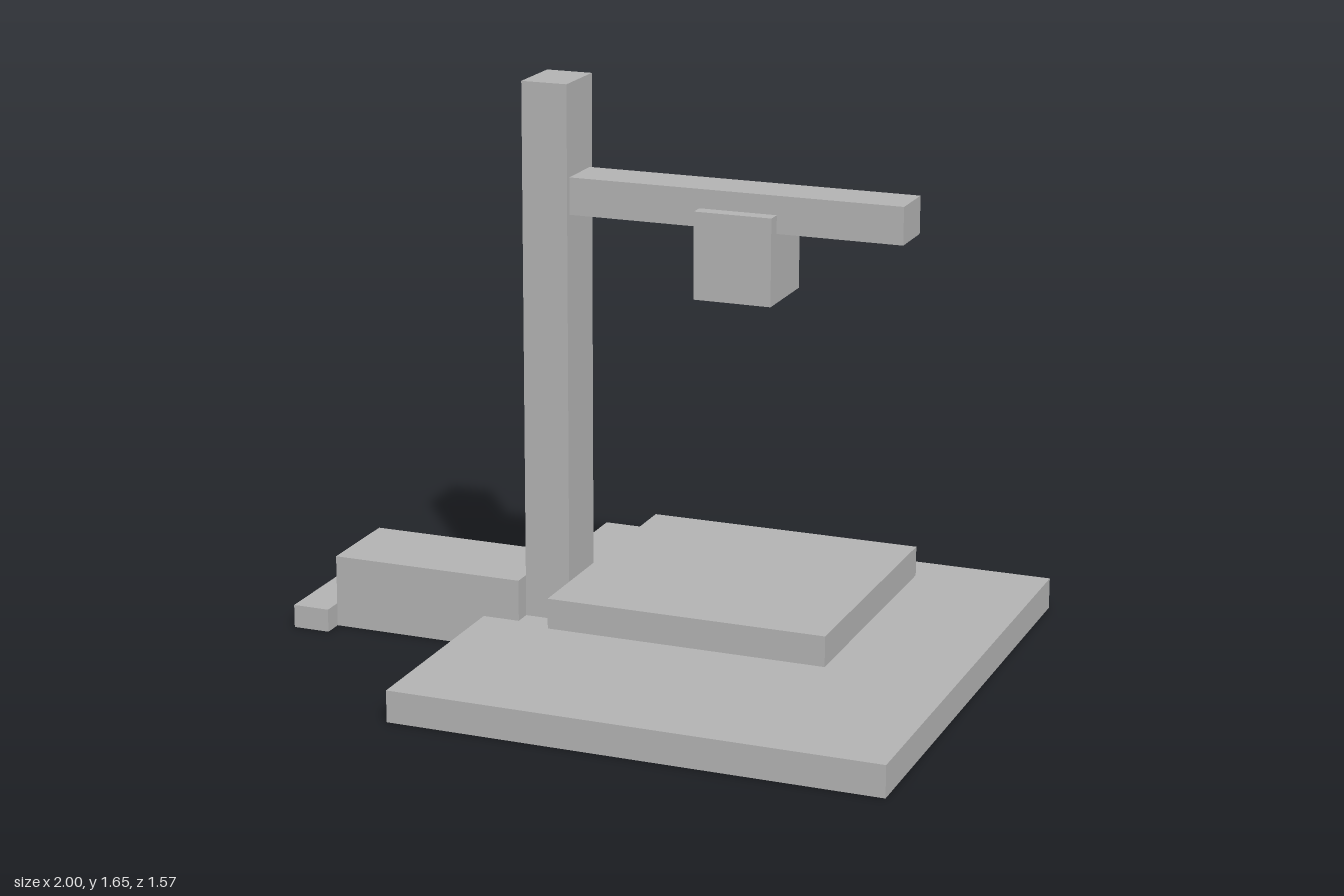
import * as THREE from 'three';

export function createModel() {
  const model = new THREE.Group();
  const grey = new THREE.MeshStandardMaterial({ color: 0xb2b2b2 });
  grey.name = 'grey';

  // Box from its x and y ranges, centred on z = 0
  function block(name, x0, x1, y0, y1, depth) {
    const mesh = new THREE.Mesh(new THREE.BoxGeometry(x1 - x0, y1 - y0, depth), grey);
    mesh.position.set((x0 + x1) / 2, (y0 + y1) / 2, 0);
    mesh.name = name;
    model.add(mesh);
  }

  // Base, with the raised work table floating above it
  block('base', -0.42, 1, 0, 0.092, 1.565);
  block('table', -0.106, 0.702, 0.185, 0.272, 0.808);

  // Upright column, horizontal arm and hanging head
  block('column', -0.31, -0.175, 0.092, 1.65, 0.18);
  block('arm', -0.175, 0.793, 1.28, 1.386, 0.146);
  block('head', 0.21, 0.434, 1.085, 1.332, 0.232);

  // Side housing and its low end foot
  block('housing', -0.89, -0.31, 0, 0.213, 0.285);
  block('endFoot', -1, -0.89, 0, 0.068, 0.405);

  return model;
}
